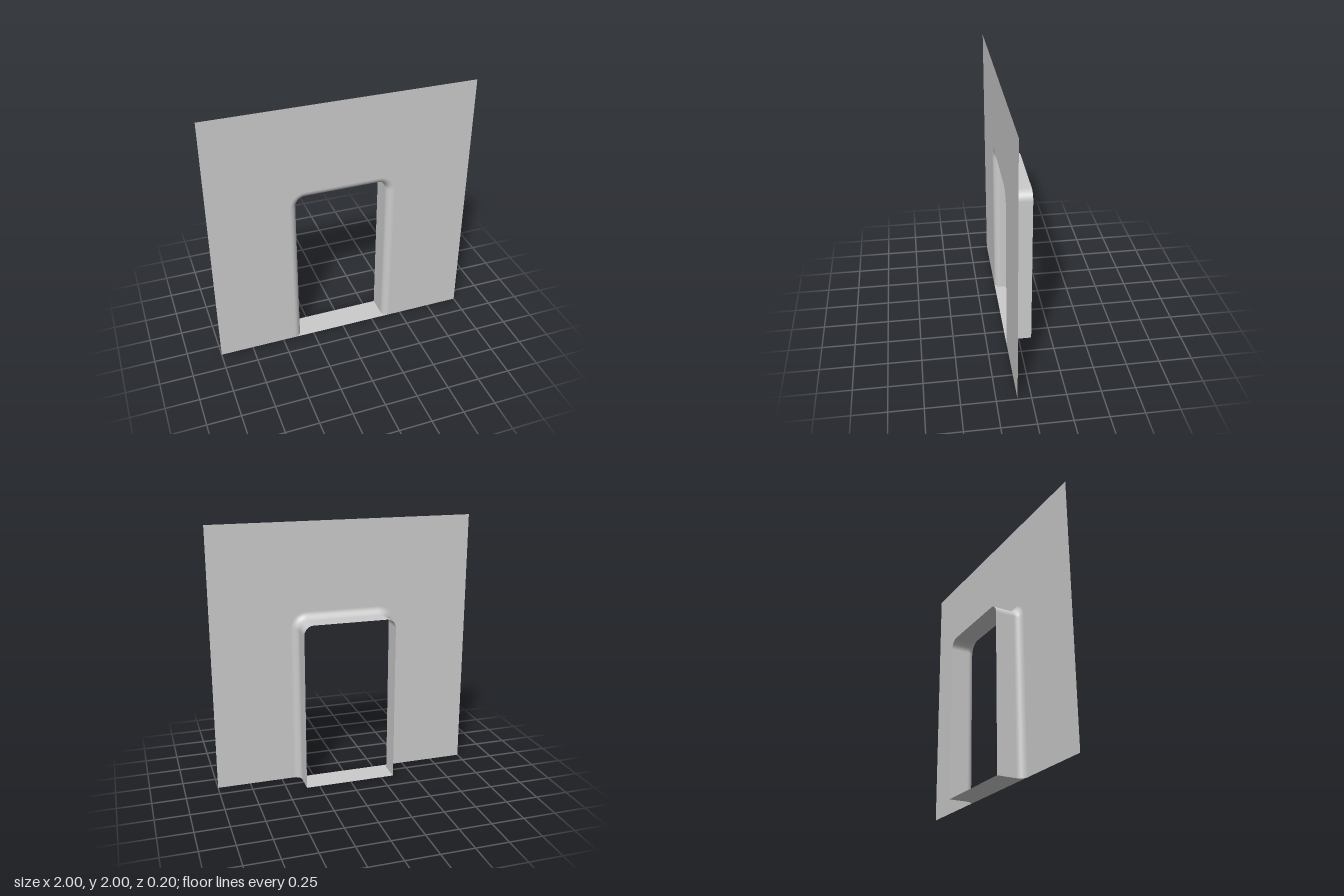
import * as THREE from 'three';

const HALF = 0.35, TOP = 1.28, CORNER = 0.07; // opening
const FRONT = 0.1, BACK = -0.1, FLARE = 0.055; // wall depth and rounded front lip
const STEPS = 10;

// Opening outline from bottom left, over the top, to bottom right, with outward normals
function openingOutline() {
  const pts = [{ x: -HALF, y: 0, nx: -1, ny: 0 }];
  for (const [cx, start] of [[-HALF + CORNER, Math.PI], [HALF - CORNER, Math.PI / 2]]) {
    for (let i = 0; i <= STEPS; i++) {
      const a = start - (i / STEPS) * Math.PI / 2;
      const nx = Math.cos(a), ny = Math.sin(a);
      pts.push({ x: cx + CORNER * nx, y: TOP - CORNER + CORNER * ny, nx, ny });
    }
  }
  pts.push({ x: HALF, y: 0, nx: 1, ny: 0 });
  return pts;
}

// Depth profile of the reveal: straight from the back, then a quarter round out to the face
function depthProfile() {
  const rings = [{ off: 0, z: BACK, t: 0 }];
  for (let i = 0; i <= STEPS; i++) {
    const t = (i / STEPS) * Math.PI / 2;
    rings.push({ off: FLARE * (1 - Math.cos(t)), z: FRONT - FLARE + FLARE * Math.sin(t), t });
  }
  return rings;
}

function revealGeometry(outline, rings) {
  const pos = [], nor = [], idx = [], n = outline.length;
  rings.forEach(({ off, z, t }, i) => {
    outline.forEach((p, j) => {
      pos.push(p.x + p.nx * off, p.y + p.ny * off, z);
      nor.push(-p.nx * Math.cos(t), -p.ny * Math.cos(t), Math.sin(t));
      if (i < rings.length - 1 && j < n - 1) {
        const a = i * n + j, b = a + 1, c = a + n, d = c + 1;
        idx.push(a, b, c, b, d, c);
      }
    });
  });
  const g = new THREE.BufferGeometry();
  g.setAttribute('position', new THREE.Float32BufferAttribute(pos, 3));
  g.setAttribute('normal', new THREE.Float32BufferAttribute(nor, 3));
  g.setIndex(idx);
  return g;
}

export function createModel() {
  const group = new THREE.Group();
  group.name = 'doorwayWall';
  const material = new THREE.MeshStandardMaterial({ color: 0xcccccc, side: THREE.DoubleSide });
  const add = (name, geometry) => {
    const mesh = new THREE.Mesh(geometry, material);
    mesh.name = name;
    group.add(mesh);
  };
  const outline = openingOutline(), rings = depthProfile();

  // Flat wall face around the flared opening
  const v = (x, y) => new THREE.Vector2(x, y);
  const face = new THREE.Shape([
    v(-1, 0),
    ...outline.map((p) => v(p.x + p.nx * FLARE, p.y + p.ny * FLARE)),
    v(1, 0), v(1, 2), v(-1, 2),
  ]);
  add('wallFace', new THREE.ShapeGeometry(face).translate(0, 0, FRONT));

  // Sides and head of the opening with the rounded lip
  add('doorReveal', revealGeometry(outline, rings));

  // Threshold strip following the flared sides
  const floor = new THREE.Shape([
    ...rings.map((r) => v(-HALF - r.off, -r.z)),
    ...rings.map((r) => v(HALF + r.off, -r.z)).reverse(),
  ]);
  add('threshold', new THREE.ShapeGeometry(floor).rotateX(-Math.PI / 2));

  return group;
}
